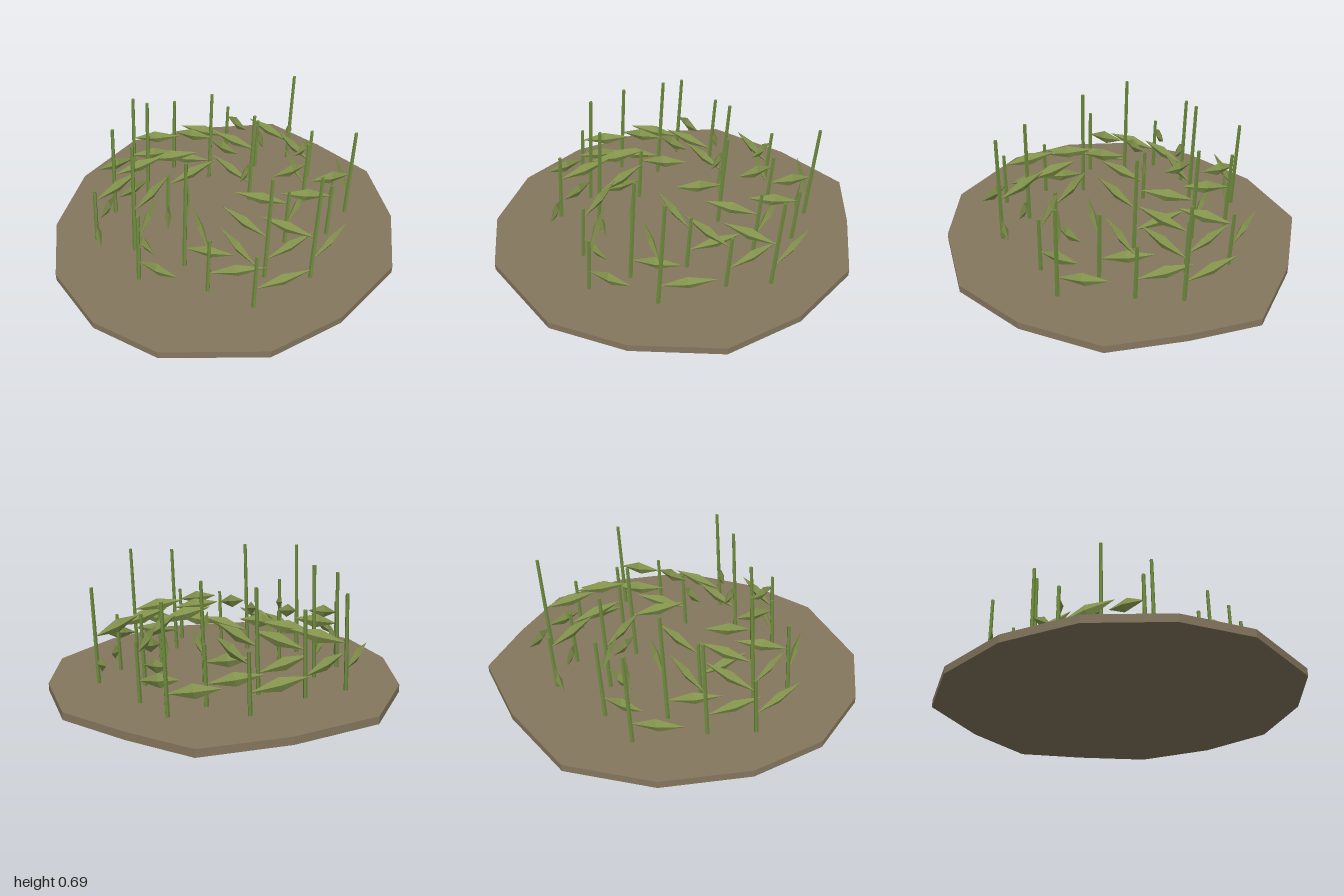
import * as THREE from 'three';

const material = (color) => new THREE.MeshStandardMaterial({ color, flatShading: true });
const soilMat = material(0x85775f);
const stalkMat = material(0x6f8c3e);
const leafMat = material(0x87984f);

// uneven soil outline, [x, z]
const OUTLINE = [
  [0.985, 0], [0.93, 0.4], [0.64, 0.73], [0.27, 0.945], [-0.205, 0.93], [-0.6, 0.79], [-0.94, 0.38],
  [-1, 0.005], [-0.89, -0.39], [-0.615, -0.695], [-0.2, -0.91], [0.275, -0.95], [0.68, -0.69], [1, -0.37],
];

// stalks, [x, z, height]
const STALKS = [
  [0.025, -0.69, 0.555], [0.225, -0.55, 0.5], [-0.08, -0.47, 0.66], [-0.31, -0.515, 0.585],
  [-0.555, -0.425, 0.36], [0.295, -0.32, 0.6], [0.555, -0.41, 0.36], [0.545, -0.17, 0.36],
  [0.765, -0.075, 0.6], [-0.2, -0.22, 0.36], [-0.465, -0.205, 0.69], [-0.63, -0.03, 0.44],
  [0.27, 0.005, 0.595], [-0.39, 0.085, 0.68], [0.655, 0.145, 0.36], [0.44, 0.26, 0.43],
  [-0.475, 0.3, 0.36], [0.08, 0.385, 0.375], [-0.195, 0.465, 0.65], [0.28, 0.525, 0.36],
  [0.525, 0.5, 0.56], [-0.42, 0.55, 0.36], [-0.045, 0.65, 0.66],
];

const SOIL_HEIGHT = 0.04;
const LEAN = 0.062; // sideways shift per unit of height
const LEAF_LENGTH = 0.295;

function makeSoil() {
  const shape = new THREE.Shape(OUTLINE.map(([x, z]) => new THREE.Vector2(x, -z)));
  const geometry = new THREE.ExtrudeGeometry(shape, { depth: SOIL_HEIGHT, bevelEnabled: false });
  geometry.rotateX(-Math.PI / 2);
  const soil = new THREE.Mesh(geometry, soilMat);
  soil.name = 'soilPatch';
  return soil;
}

// slender diamond running along +x from the stalk, rising to its tip
const leafGeometry = new THREE.OctahedronGeometry(1, 0)
  .scale(LEAF_LENGTH / 2, 0.038, 0.018)
  .translate(LEAF_LENGTH / 2, 0, 0)
  .rotateZ(0.23);

function makePlant([x, z, height]) {
  const plant = new THREE.Group();
  plant.name = 'plant';
  const foot = x + 0.017 - LEAN * height;

  // upright stalk sheared towards +x
  const length = height - 0.02;
  const geometry = new THREE.CylinderGeometry(0.0095, 0.012, length, 5);
  geometry.translate(0, length / 2 + 0.02, 0);
  geometry.applyMatrix4(new THREE.Matrix4().set(1, LEAN, 0, 0, 0, 1, 0, 0, 0, 0, 1, 0, 0, 0, 0, 1));
  const stalk = new THREE.Mesh(geometry, stalkMat);
  stalk.name = 'stalk';
  stalk.position.set(foot, 0, z);
  plant.add(stalk);

  // two leaves, turned by the plant's bearing around the patch
  const bearing = Math.atan2(z, x);
  [['lowerLeaf', 0.156, -1.57], ['upperLeaf', 0.296, 2.7]].forEach(([name, y, turn]) => {
    const leaf = new THREE.Mesh(leafGeometry, leafMat);
    leaf.name = name;
    leaf.position.set(foot + LEAN * y, y, z);
    leaf.rotation.y = -(bearing + turn);
    plant.add(leaf);
  });
  return plant;
}

export function createModel() {
  const model = new THREE.Group();
  model.name = 'cropPatch';
  model.add(makeSoil());
  STALKS.forEach((stalk) => model.add(makePlant(stalk)));
  return model;
}
